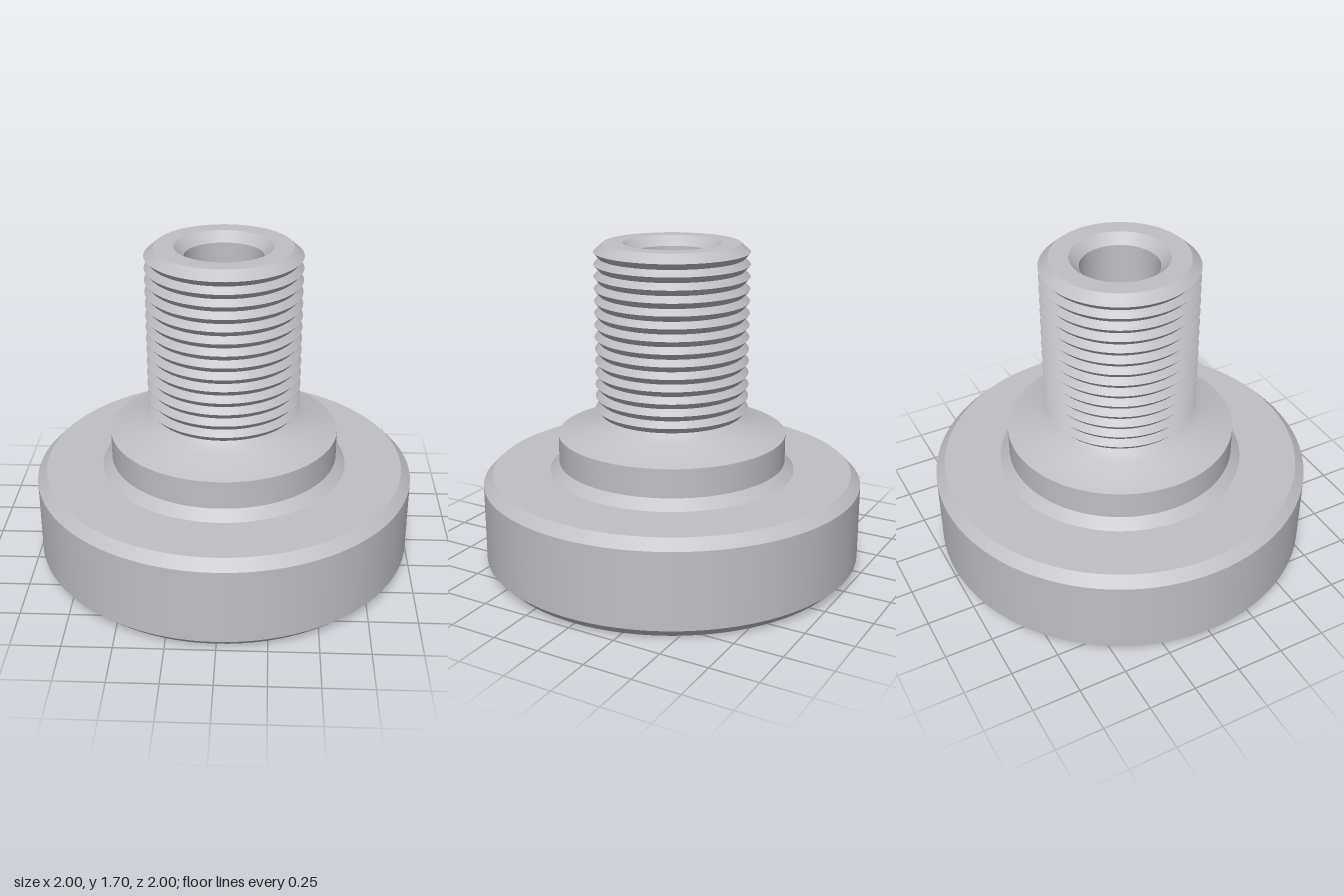
import * as THREE from 'three';
import { mergeGeometries } from 'three/addons/utils/BufferGeometryUtils.js';

const SEGMENTS = 96;

// Revolve each run of [radius, y] points separately: smooth within a run, sharp between runs.
function revolve(name, runs, material) {
  const geos = runs.map((run) =>
    new THREE.LatheGeometry(run.map(([r, y]) => new THREE.Vector2(r, y)), SEGMENTS));
  const mesh = new THREE.Mesh(mergeGeometries(geos), material);
  mesh.name = name;
  return mesh;
}

// Split a polyline into single-segment runs, so every corner is sharp.
const sharp = (pts) => pts.slice(1).map((p, i) => [pts[i], p]);

export function createModel() {
  const steel = new THREE.MeshStandardMaterial({ color: 0xbfbfc4 });
  steel.name = 'steel grey';

  const group = new THREE.Group();
  group.name = 'threadedFoot';

  // Wide chamfered base disc
  group.add(revolve('base', sharp([
    [0.25, 0], [0.95, 0], [1, 0.05], [1, 0.45], [0.95, 0.5], [0.65, 0.5],
  ]), steel));

  // Collar with a flared foot and a sloping shoulder that blends into the stud
  group.add(revolve('collar', [
    ...sharp([[0.65, 0.5], [0.6, 0.55], [0.6, 0.7]]),
    [[0.6, 0.7], [0.43, 0.75], [0.372, 0.806]],
  ], steel));

  // Threaded stud: ring-shaped V grooves, then the chamfered end
  const ridges = 14, pitch = 0.063, crest = 0.4, root = 0.372, top = 1.656;
  const thread = [];
  for (let i = ridges - 1; i >= 0; i--) {
    const y = top - i * pitch;
    thread.push([root, y - pitch / 2], [crest, y]);
  }
  thread[0][1] = 0.806;
  thread.push([0.35, 1.7], [0.25, 1.7]);
  group.add(revolve('threadedStud', sharp(thread), steel));

  // Through bore, countersunk at both ends
  group.add(revolve('bore', sharp([
    [0.25, 1.7], [0.2, 1.65], [0.2, 0.05], [0.25, 0],
  ]), steel));

  return group;
}
